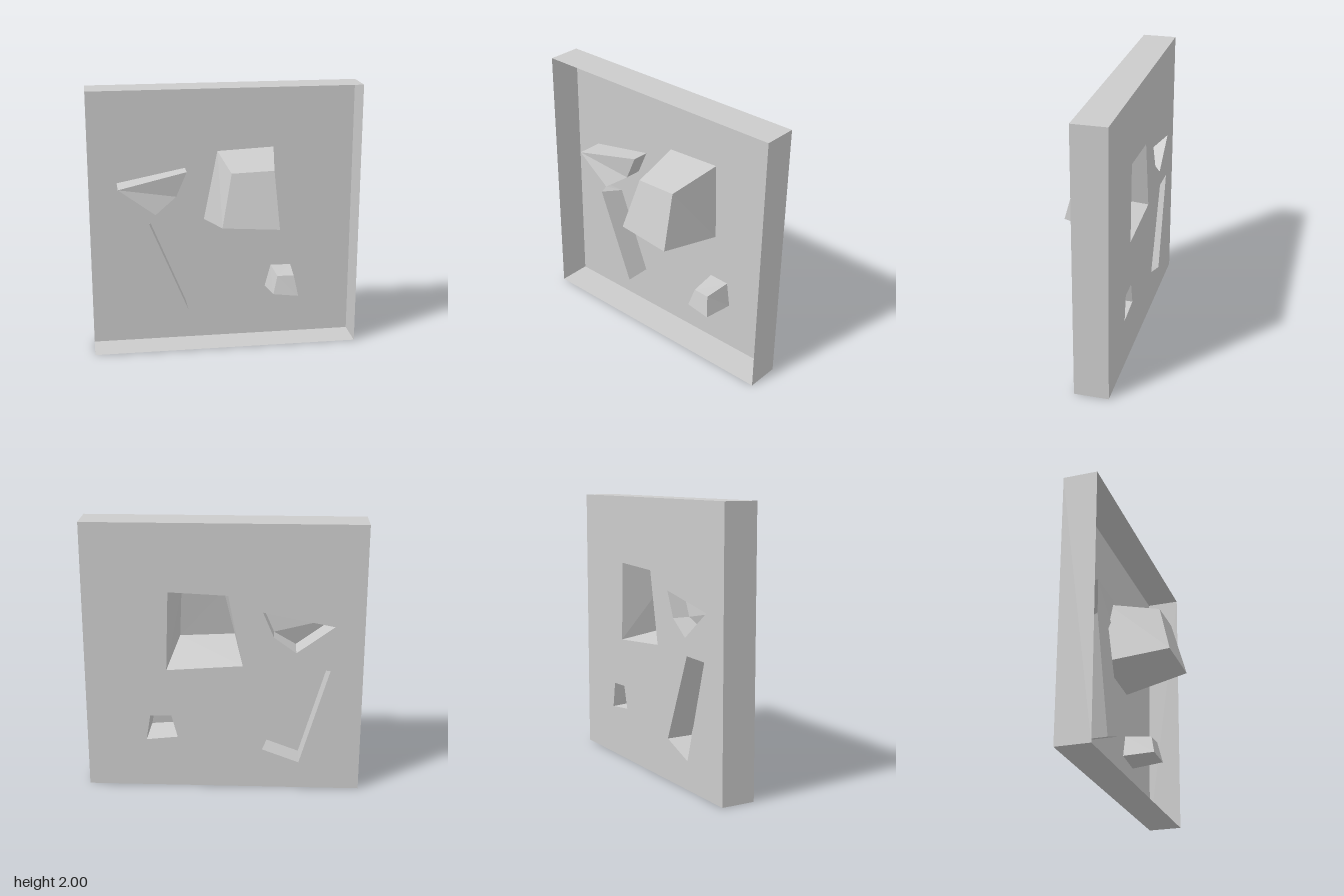
import * as THREE from 'three';

const BACK = -0.25;
const material = new THREE.MeshStandardMaterial({ color: 0xcccccc, flatShading: true, side: THREE.DoubleSide });

function mesh(geometry, name) {
  const m = new THREE.Mesh(geometry, material);
  m.name = name;
  return m;
}

// Flat-shaded surface from polygons, each fanned from its first corner
function surface(polygons, name) {
  const p = [];
  for (const poly of polygons)
    for (let i = 1; i < poly.length - 1; i++) p.push(...poly[0], ...poly[i], ...poly[i + 1]);
  const g = new THREE.BufferGeometry();
  g.setAttribute('position', new THREE.Float32BufferAttribute(p, 3));
  g.computeVertexNormals();
  return mesh(g, name);
}

// Side faces between a base outline on the back panel and a raised outline
function sides(base, raised) {
  return base.map(([x, y], i) => {
    const j = (i + 1) % base.length;
    return [[x, y, BACK], [...base[j], BACK], raised[j], raised[i]];
  });
}

// Hollow protrusion: sides plus a front cap
const bulge = (base, raised, name) => surface([...sides(base, raised), raised], name);

export function createModel() {
  const group = new THREE.Group();

  // Outlines run counter-clockwise seen from the front
  const bulges = [
    {
      name: 'largeBlock',
      base: [[0.41, 0.92], [0.39, 1.505], [-0.035, 1.485], [-0.14, 0.96]],
      raised: [[0.35, 1.01, 0.25], [0.325, 1.42, 0.14], [0.015, 1.41, 0.14], [-0.065, 1.035, 0.237]],
    },
    {
      name: 'smallBlock',
      base: [[0.565, 0.37], [0.535, 0.56], [0.38, 0.565], [0.335, 0.395]],
      raised: [[0.55, 0.39, -0.005], [0.52, 0.545, -0.04], [0.395, 0.545, -0.045], [0.36, 0.41, -0.015]],
    },
    {
      name: 'hookHead',
      base: [[-0.79, 1.265], [-0.52, 1.065], [-0.36, 1.18], [-0.28, 1.365]],
      raised: [[-0.79, 1.265, -0.055], [-0.52, 1.065, -0.055], [-0.36, 1.18, -0.12], [-0.28, 1.365, -0.12]],
    },
    {
      name: 'hookStem',
      base: [[-0.555, 0.205], [-0.285, 0.305], [-0.544, 0.941], [-0.768, 0.935]],
      raised: [[-0.555, 0.205, -0.055], [-0.285, 0.305, -0.055], [-0.57, 1.0, -0.055], [-0.79, 1.01, -0.055]],
    },
  ];

  // Back panel, open behind every bulge
  const outline = [[-1, 0], [1, 0], [1, 2], [-1, 2]];
  const toPoints = (list) => list.map(([x, y]) => new THREE.Vector2(x, y));
  const panel = new THREE.Shape(toPoints(outline));
  for (const b of bulges) {
    panel.holes.push(new THREE.Path(toPoints(b.base)));
    group.add(bulge(b.base, b.raised, b.name));
  }
  group.add(mesh(new THREE.ShapeGeometry(panel).translate(0, 0, BACK), 'backPanel'));

  // Thin walls around the open front
  group.add(surface(sides(outline, outline.map(([x, y]) => [x, y, 0])), 'trayWalls'));

  // Thin bridge joining stem and head
  const stem = bulges[3].raised, head = bulges[2].raised;
  group.add(surface([[stem[3], stem[2], head[1], head[0]]], 'hookBridge'));

  return group;
}
